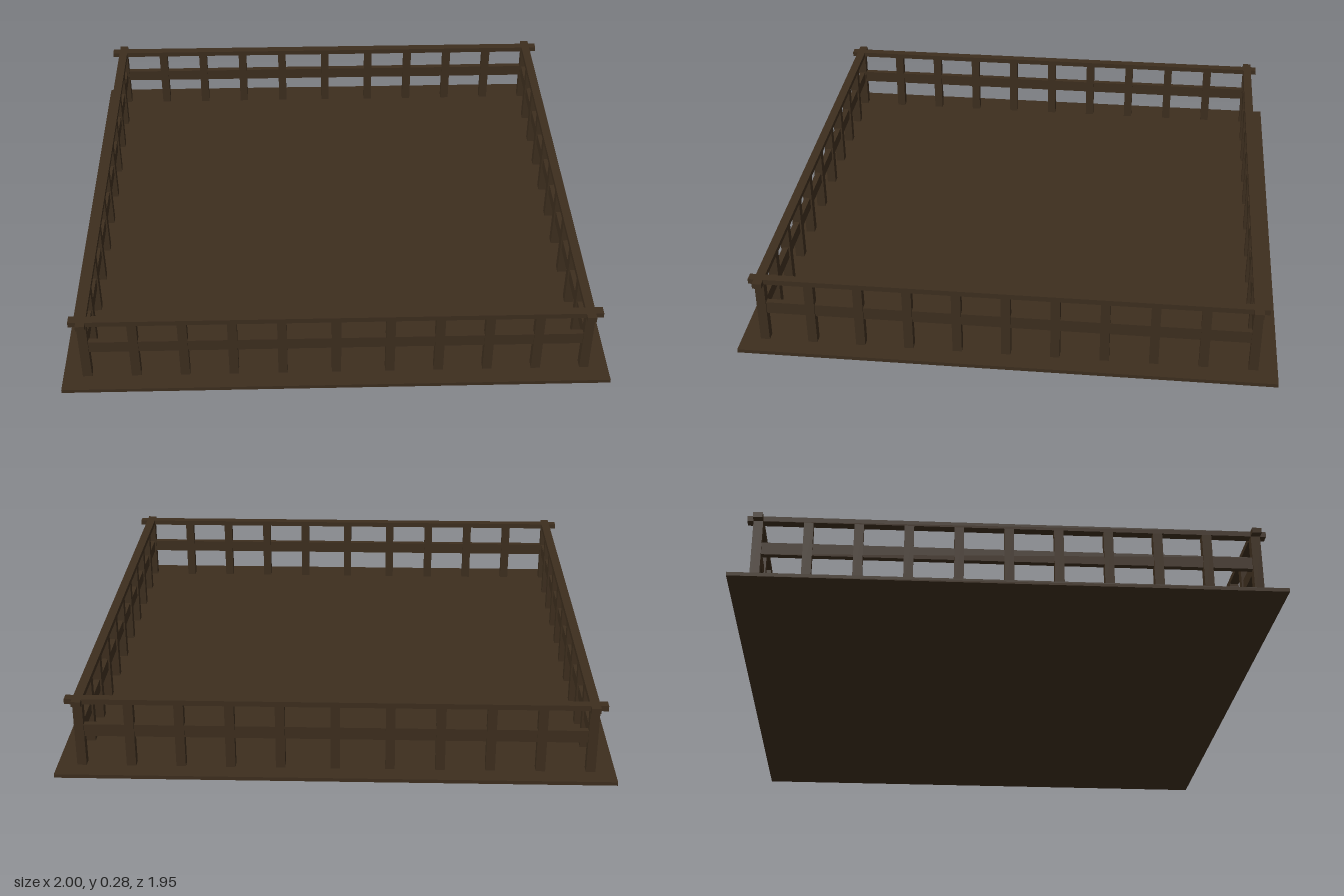
import * as THREE from 'three';

export function createModel() {
  const group = new THREE.Group();
  const wood = new THREE.MeshStandardMaterial({ color: 0x3d2e1e });
  const X = 0.912, Z = 0.889;       // fence centre lines
  const T = 0.034;                  // post and top rail thickness
  const FLOOR = 0.014, TOP = 0.28, RAIL = 0.02;

  // Box spanning y0..y1, centred on x, z
  function box(name, w, d, y0, y1, x, z) {
    const mesh = new THREE.Mesh(new THREE.BoxGeometry(w, y1 - y0, d), wood);
    mesh.position.set(x, (y0 + y1) / 2, z);
    mesh.name = name;
    group.add(mesh);
  }

  box('floor', 2, 1.95, 0, FLOOR, 0, 0);

  const postY = TOP - RAIL;
  const frontX = [-X, -0.733, -0.554, -0.375, -0.196, 0, 0.196, 0.375, 0.554, 0.733, X];
  for (const s of [-1, 1]) {
    // Posts of the front and back fences, corners included
    for (const x of frontX) box('post', T, T, FLOOR, postY, x, s * Z);
    // Posts of the side fences, between the corners
    for (let i = 1; i < 10; i++) box('sidePost', T, T, FLOOR, postY, s * X, -Z + i * Z / 5);

    // Middle rails run between the corner posts
    box('middleRail', 2 * X - T, 0.022, 0.13, 0.177, 0, s * Z);
    box('sideMiddleRail', 0.022, 2 * Z - T, 0.13, 0.177, s * X, 0);

    // Top rails cross and overhang at the corners
    box('topRail', 1.915, T, postY, TOP, 0, s * Z);
    box('sideTopRail', T, 1.856, postY, TOP, s * X, 0);
  }
  return group;
}
